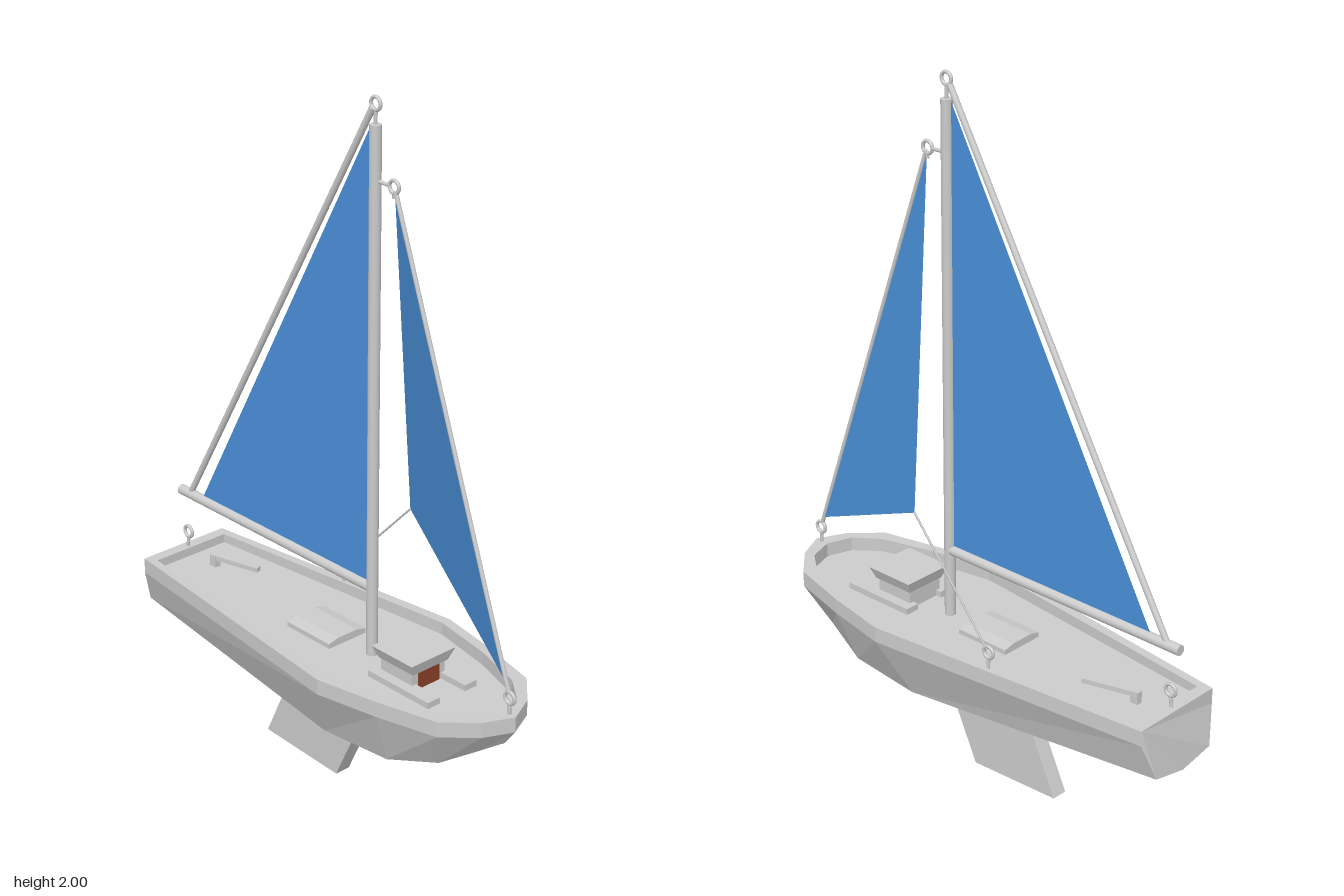
import * as THREE from 'three';

const grey = new THREE.MeshStandardMaterial({ color: 0xcccccc, flatShading: true });
const smooth = new THREE.MeshStandardMaterial({ color: 0xcccccc });
const blue = new THREE.MeshStandardMaterial({ color: 0x4a90d9, side: THREE.DoubleSide });
const brown = new THREE.MeshStandardMaterial({ color: 0x8a4028 });
const DECK = 0.43;

export function createModel() {
  const model = new THREE.Group();

  const add = (name, geometry, material = grey, parent = model) => {
    const mesh = new THREE.Mesh(geometry, material);
    mesh.name = name;
    parent.add(mesh);
    return mesh;
  };
  const box = (name, w, h, d, x, y, z, material = grey) => {
    const mesh = add(name, new THREE.BoxGeometry(w, h, d), material);
    mesh.position.set(x, y, z);
    return mesh;
  };
  // Round bar between two points
  const rod = (name, from, to, radius, parent = model, sides = 12) => {
    const a = new THREE.Vector3(...from), b = new THREE.Vector3(...to);
    const dir = b.clone().sub(a);
    const mesh = add(name, new THREE.CylinderGeometry(radius, radius, dir.length(), sides), smooth, parent);
    mesh.position.copy(a).add(b).multiplyScalar(0.5);
    mesh.quaternion.setFromUnitVectors(new THREE.Vector3(0, 1, 0), dir.normalize());
    return mesh;
  };
  // Upright eye on a short stem; base is the foot of the stem
  const eye = (name, x, y, z, base) => {
    const group = new THREE.Group();
    group.name = name;
    const ring = add(name + 'Ring', new THREE.TorusGeometry(0.017, 0.005, 8, 20), smooth, group);
    ring.position.set(x, y, z);
    ring.rotation.y = Math.PI / 2;
    rod(name + 'Stem', base, [x, y - 0.016, z], 0.005, group, 8);
    model.add(group);
  };
  const polygons = (points, faces) => {
    const geometry = new THREE.BufferGeometry();
    geometry.setAttribute('position', new THREE.Float32BufferAttribute(points.flat(), 3));
    geometry.setIndex(faces.flatMap(f => f.slice(2).flatMap((c, i) => [f[0], f[i + 1], c])));
    const flat = geometry.toNonIndexed();
    flat.computeVertexNormals();
    return flat;
  };

  // Hull stations, stern to bow: rail x,z; inner rail x,z; chine x,y,z; keel y,z
  const stations = [
    { rail: [0.146, -0.665], inner: [0.125, -0.63], chine: [0.11, 0.305, -0.69], keel: [0.283, -0.69] },
    { rail: [0.245, 0.20], inner: [0.215, 0.20], chine: [0.165, 0.25, 0.14], keel: [0.19, 0.12] },
    { rail: [0.21, 0.39], inner: [0.18, 0.39], chine: [0.15, 0.26, 0.37], keel: [0.225, 0.39] },
    { rail: [0.165, 0.57], inner: [0.13, 0.55], chine: [0.105, 0.30, 0.52], keel: [0.285, 0.50] },
    { rail: [0.085, 0.65], inner: [0.075, 0.62], chine: [0.05, 0.355, 0.61], keel: [0.34, 0.59] },
    { rail: [0, 0.69], inner: [0, 0.645], chine: [0, 0.38, 0.655], keel: [0.375, 0.65] },
  ];
  const railY = z => 0.464 + 0.012 * z;
  const N = 11;
  const points = stations.flatMap(({ rail, inner, chine, keel }) => {
    const half = [
      [inner[0], DECK, inner[1]], [inner[0], railY(inner[1]), inner[1]],
      [rail[0], railY(rail[1]), rail[1]], [rail[0], railY(rail[1]) - 0.045, rail[1]], chine,
    ];
    return [...half, [0, ...keel], ...half.map(([x, y, z]) => [-x, y, z]).reverse()];
  });
  const hullFaces = [[2, 3, 4, 5, 6, 7, 8], [1, 2, 8, 9], [0, 1, 9, 10]];
  const deckFaces = [];
  for (let j = 0; j < stations.length - 1; j++) {
    const a = j * N, b = a + N;
    for (let i = 0; i < N - 1; i++) hullFaces.push([a + i, b + i, b + i + 1, a + i + 1]);
    deckFaces.push([a + N - 1, b + N - 1, b, a]);
  }
  add('hull', polygons(points, hullFaces));
  add('deck', polygons(points, deckFaces));

  // Swept keel fin, drawn in the z-y plane
  const fin = new THREE.Shape([[0.12, 0.2], [0.12, 0.19], [0.03, 0], [-0.265, 0.012], [-0.165, 0.225], [-0.15, 0.25]]
    .map(([z, y]) => new THREE.Vector2(-z, y)));
  const finGeometry = new THREE.ExtrudeGeometry(fin, { depth: 0.048, bevelEnabled: false });
  finGeometry.translate(0, 0, -0.024).rotateY(Math.PI / 2);
  add('keelFin', finGeometry);

  // Cabin with flared roof, door and side benches
  box('cabin', 0.12, 0.07, 0.12, 0, DECK + 0.035, 0.308);
  const roofGeometry = new THREE.BoxGeometry(0.16, 0.036, 0.155);
  const roofPos = roofGeometry.attributes.position;
  for (let i = 0; i < roofPos.count; i++) {
    if (roofPos.getY(i) < 0) roofPos.setXYZ(i, roofPos.getX(i) * 0.8, roofPos.getY(i), roofPos.getZ(i) * 0.85);
  }
  roofGeometry.computeVertexNormals();
  add('cabinRoof', roofGeometry).position.set(0, 0.502, 0.31);
  box('cabinDoor', 0.075, 0.05, 0.006, 0, DECK + 0.027, 0.369, brown);
  for (const side of [-1, 1]) box('bench', 0.044, 0.018, 0.23, side * 0.068, DECK + 0.009, 0.345);

  // Deck hatch with a low arched lid
  const lid = new THREE.Shape([[-0.068, 0], [0.068, 0], [0.068, 0.014], [0.035, 0.022], [-0.035, 0.022], [-0.068, 0.014]]
    .map(p => new THREE.Vector2(...p)));
  add('hatch', new THREE.ExtrudeGeometry(lid, { depth: 0.172, bevelEnabled: false })).position.set(-0.002, DECK, -0.12);

  // Tiller and its post
  const tiller = box('tiller', 0.02, 0.014, 0.16, 0.032, 0.459, -0.465);
  tiller.rotation.y = 0.27;
  box('tillerPost', 0.018, 0.036, 0.025, 0.012, DECK + 0.017, -0.535);

  // Spars and stays
  rod('mast', [0, DECK, 0.148], [0, 1.925, 0.148], 0.016, model, 16);
  rod('boom', [0, 0.633, 0.148], [0, 0.633, -0.667], 0.015, model, 16);
  rod('backstay', [0, 1.965, 0.137], [0, 0.64, -0.622], 0.009);
  rod('forestay', [0, 1.77, 0.222], [0, 0.535, 0.662], 0.006);
  rod('jibSheet', [0.155, 0.81, 0.13], [0.186, 0.515, -0.165], 0.003, model, 6);

  // Eyes for the rigging
  eye('mastEye', 0, 1.978, 0.148, [0, 1.92, 0.148]);
  eye('forestayEye', 0, 1.78, 0.217, [0, 1.75, 0.217]);
  rod('forestayArm', [0, 1.78, 0.198], [0, 1.78, 0.148], 0.005);
  eye('bowEye', 0, 0.52, 0.667, [0, 0.465, 0.667]);
  eye('sternEye', 0, 0.505, -0.64, [0, 0.45, -0.645]);
  eye('sheetEye', 0.186, 0.51, -0.17, [0.188, 0.455, -0.17]);

  // Sails
  add('mainsail', polygons([[0, 1.92, 0.132], [0, 0.645, 0.132], [0, 0.645, -0.567]], [[0, 1, 2]]), blue);
  add('jib', polygons([[0, 1.765, 0.22], [0, 0.555, 0.655], [0.155, 0.81, 0.13]], [[0, 1, 2]]), blue);

  return model;
}
